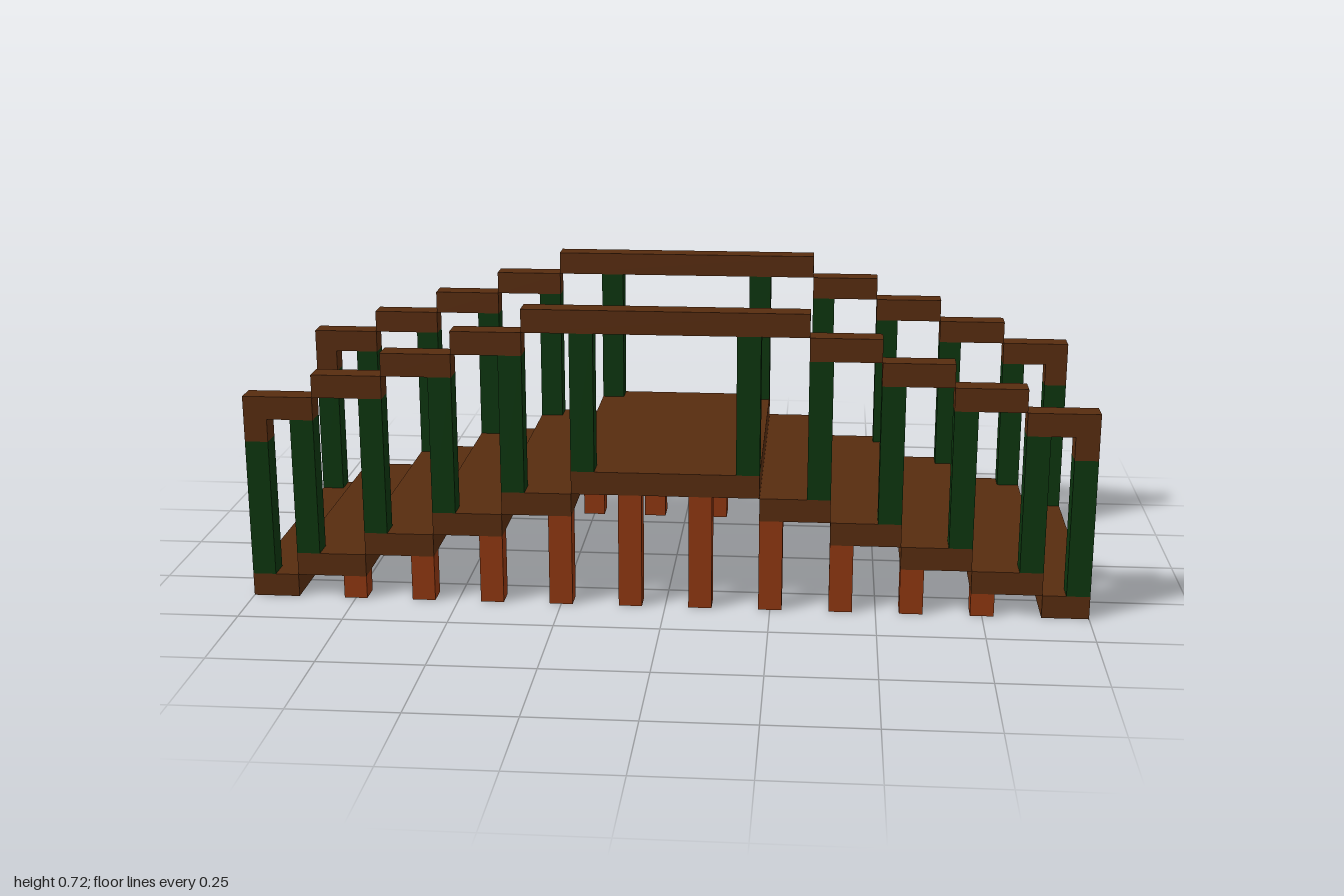
import * as THREE from 'three';

// The bridge is laid out on a block grid: 36 long, 13 wide, 13 high
const U = 1 / 18;
const HALF_LENGTH = 18, HALF_WIDTH = 6.5;

function material(name, color) {
  const m = new THREE.MeshStandardMaterial({ color });
  m.name = name;
  return m;
}

export function createModel() {
  const brown = material('dark wood', 0x572c0f);
  const green = material('dark green', 0x0c350e);
  const rust = material('rust wood', 0x8d3610);

  const bridge = new THREE.Group();
  bridge.name = 'archedFootbridge';

  // Box given by its limits in grid units
  function box(name, mat, x0, x1, y0, y1, z0, z1) {
    const g = new THREE.BoxGeometry((x1 - x0) * U, (y1 - y0) * U, (z1 - z0) * U);
    const mesh = new THREE.Mesh(g, mat);
    mesh.name = name;
    mesh.position.set((x0 + x1) / 2 * U, (y0 + y1) / 2 * U, (z0 + z1) / 2 * U);
    bridge.add(mesh);
  }

  // Box repeated at both ends of the bridge
  function bothEnds(name, mat, x0, x1, y0, y1, z0, z1) {
    box(name + 'Left', mat, x0, x1, y0, y1, z0, z1);
    box(name + 'Right', mat, -x1, -x0, y0, y1, z0, z1);
  }

  // Deck: flat crown and five steps down to each end
  box('deckCrown', brown, -4, 4, 5, 6, -HALF_WIDTH, HALF_WIDTH);
  for (let i = 0; i < 5; i++) {
    const x = 4 + 3 * i;
    bothEnds('deckStep', brown, x, Math.min(x + 3, HALF_LENGTH), 4 - i, 5 - i, -HALF_WIDTH, HALF_WIDTH);
  }

  // Both sides of the bridge
  for (const z of [-HALF_WIDTH, HALF_WIDTH - 1]) {
    // Legs under the deck
    for (let i = 0; i < 5; i++) {
      const x = 1 + 3 * i;
      bothEnds('leg', rust, x, x + 1, 0, 5 - i, z, z + 1);
    }

    // Railing posts on the steps
    for (let i = 0; i < 5; i++) {
      const x = 3 + 3 * i;
      bothEnds('post', green, x, x + 1, 6 - i, 12 - i, z, z + 1);
    }
    bothEnds('endPost', green, 17, 18, 1, 7, z, z + 1);

    // Stepped handrail, turned down at each end
    box('handrailCrown', brown, -6, 6, 12, 13, z, z + 1);
    for (let i = 0; i < 4; i++) {
      const x = 6 + 3 * i;
      bothEnds('handrail', brown, x, x + 3, 11 - i, 12 - i, z, z + 1);
    }
    bothEnds('handrailEnd', brown, 17, 18, 7, 8, z, z + 1);
  }

  return bridge;
}
